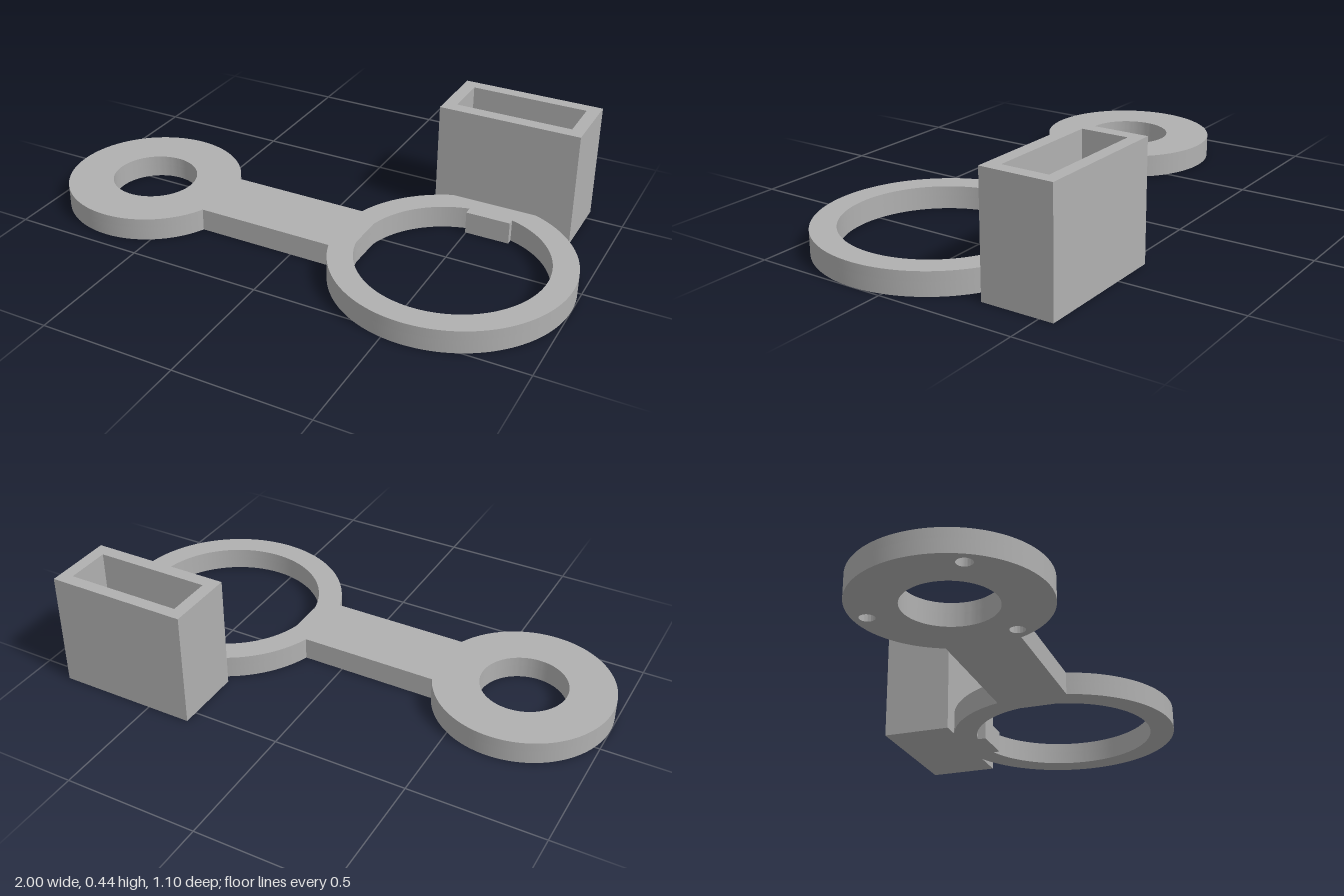
import * as THREE from 'three';
import { toCreasedNormals } from 'three/addons/utils/BufferGeometryUtils.js';

const THICK = 0.085, CENTER_Z = 0.113;
const DISC = { x: -0.67, r: 0.33, hole: 0.16 };
const RING = { x: 0.567, r: 0.433, hole: 0.342 };
const BAR_HALF = 0.1325;

const grey = new THREE.MeshStandardMaterial({ color: 0xb0b0b0 });
grey.name = 'grey';

// Extrude a plan shape (shape y = -z) upward from y0 to y1
function slab(name, shape, y0, y1, z = 0) {
  let geo = new THREE.ExtrudeGeometry(shape, { depth: y1 - y0, bevelEnabled: false, curveSegments: 64 });
  geo.rotateX(-Math.PI / 2);
  geo = toCreasedNormals(geo, 0.4);
  const mesh = new THREE.Mesh(geo, grey);
  mesh.name = name;
  mesh.position.set(0, y0, z);
  return mesh;
}

function circle(x, y, r) {
  const p = new THREE.Path();
  p.absarc(x, y, r, 0, Math.PI * 2, false);
  return p;
}

function rect(Type, x0, x1, y0, y1) {
  return new Type([[x0, y0], [x1, y0], [x1, y1], [x0, y1]].map(([x, y]) => new THREE.Vector2(x, y)));
}

// Ring opening, with the flat bar end on one side and the tab at the back
function ringOpening() {
  const p = new THREE.Path();
  const tabL = -0.07, tabR = 0.098, tabY = 0.303;
  const flat = Math.acos(0.335 / RING.hole);
  p.absarc(RING.x, 0, RING.hole, Math.PI + flat, Math.PI * 2 + Math.acos(tabR / RING.hole), false);
  p.lineTo(RING.x + tabR, tabY);
  p.lineTo(RING.x + tabL, tabY);
  p.absarc(RING.x, 0, RING.hole, Math.acos(tabL / RING.hole), Math.PI - flat, false);
  p.closePath();
  return p;
}

// Disc, bar and ring in one outline
function plateShape() {
  const s = new THREE.Shape();
  const a = Math.asin(BAR_HALF / DISC.r), b = Math.asin(BAR_HALF / RING.r);
  s.absarc(DISC.x, 0, DISC.r, a, Math.PI * 2 - a, false);
  s.absarc(RING.x, 0, RING.r, -Math.PI + b, Math.PI - b, false);
  s.closePath();
  s.holes.push(circle(DISC.x, 0, DISC.hole), ringOpening());
  return s;
}

export function createModel() {
  const model = new THREE.Group();
  model.name = 'holder';

  // Plate: the lower layer carries three blind holes under the disc
  const plate = new THREE.Group();
  plate.name = 'plate';
  const lower = plateShape();
  for (const deg of [90, 210, 330]) {
    const t = THREE.MathUtils.degToRad(deg);
    lower.holes.push(circle(DISC.x + 0.28 * Math.cos(t), 0.28 * Math.sin(t), 0.027));
  }
  plate.add(slab('plateLower', lower, 0, 0.05, CENTER_Z));
  plate.add(slab('plateUpper', plateShape(), 0.05, THICK, CENTER_Z));
  model.add(plate);

  // Open-topped box behind the ring
  const box = new THREE.Group();
  box.name = 'box';
  const walls = rect(THREE.Shape, 0.333, 0.862, 0.288, 0.553);
  walls.holes.push(rect(THREE.Path, 0.38, 0.815, 0.337, 0.507));
  box.add(slab('boxWalls', walls, 0.05, 0.435));
  box.add(slab('boxFloor', rect(THREE.Shape, 0.333, 0.862, 0.288, 0.553), 0, 0.05));
  model.add(box);

  return model;
}
